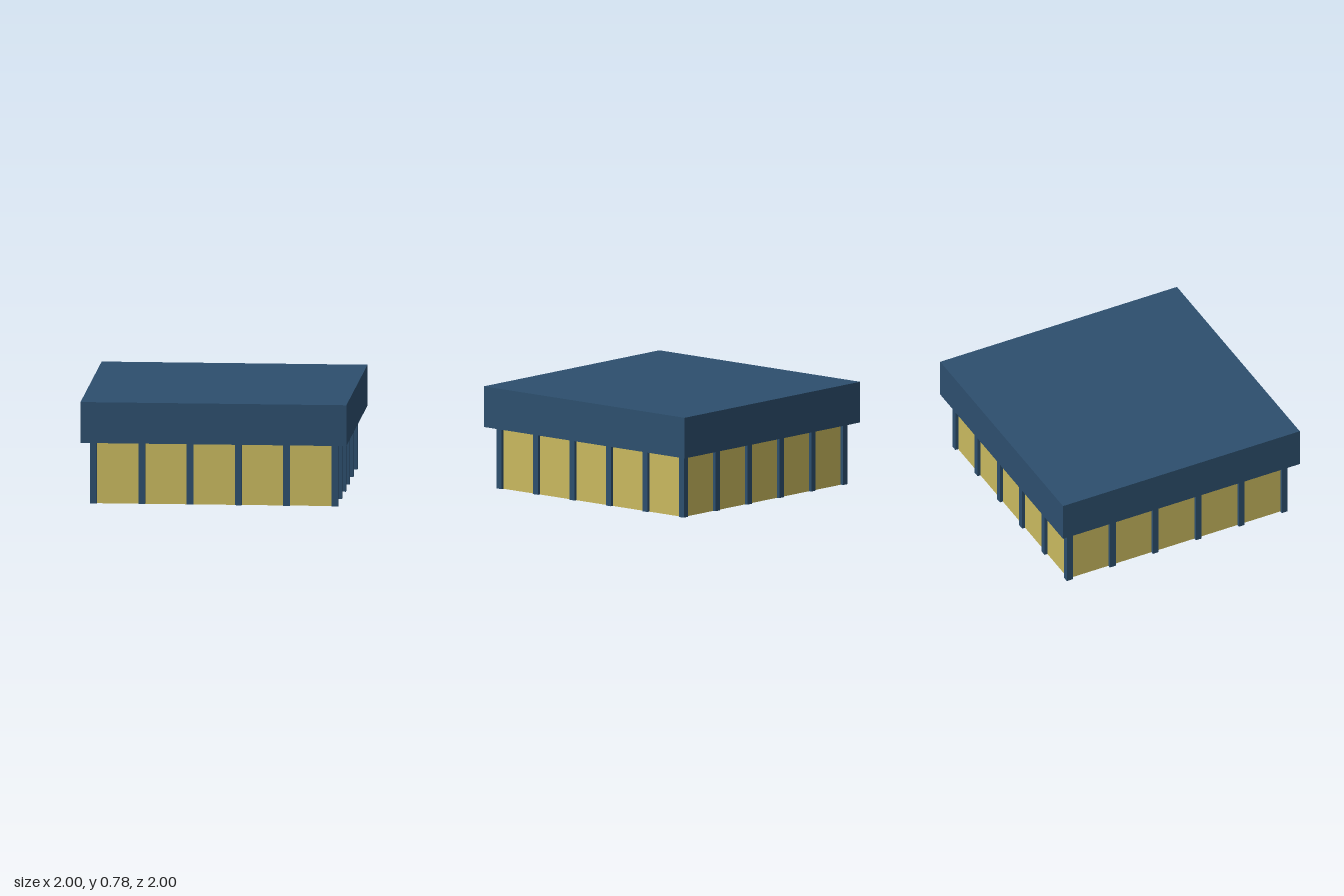
import * as THREE from 'three';

export function createModel() {
  const model = new THREE.Group();
  model.name = 'pavilion';

  const blue = new THREE.MeshStandardMaterial({ color: 0x2d4f6e });
  blue.name = 'slate blue';
  const yellow = new THREE.MeshStandardMaterial({ color: 0xc9b95f });
  yellow.name = 'sand yellow';

  const addBox = (name, material, size, position) => {
    const mesh = new THREE.Mesh(new THREE.BoxGeometry(...size), material);
    mesh.name = name;
    mesh.position.set(...position);
    model.add(mesh);
  };

  const eaves = 0.47, top = 0.78; // heights of the roof slab
  const half = 0.908;             // half width of the walls
  const postWidth = 0.05;
  const bays = 5;

  // Walls and roof
  addBox('walls', yellow, [half * 2, eaves, half * 2], [0, eaves / 2, 0]);
  addBox('roof', blue, [2, top - eaves, 2], [0, (top + eaves) / 2, 0]);

  // Square posts around the perimeter, lifted a hair to keep their feet off the floor plane
  const lift = 0.001;
  for (let i = 0; i <= bays; i++) {
    for (let j = 0; j <= bays; j++) {
      if (i % bays !== 0 && j % bays !== 0) continue;
      const x = -half + (2 * half * i) / bays;
      const z = -half + (2 * half * j) / bays;
      addBox('post', blue, [postWidth, eaves - lift, postWidth], [x, (eaves + lift) / 2, z]);
    }
  }

  return model;
}
